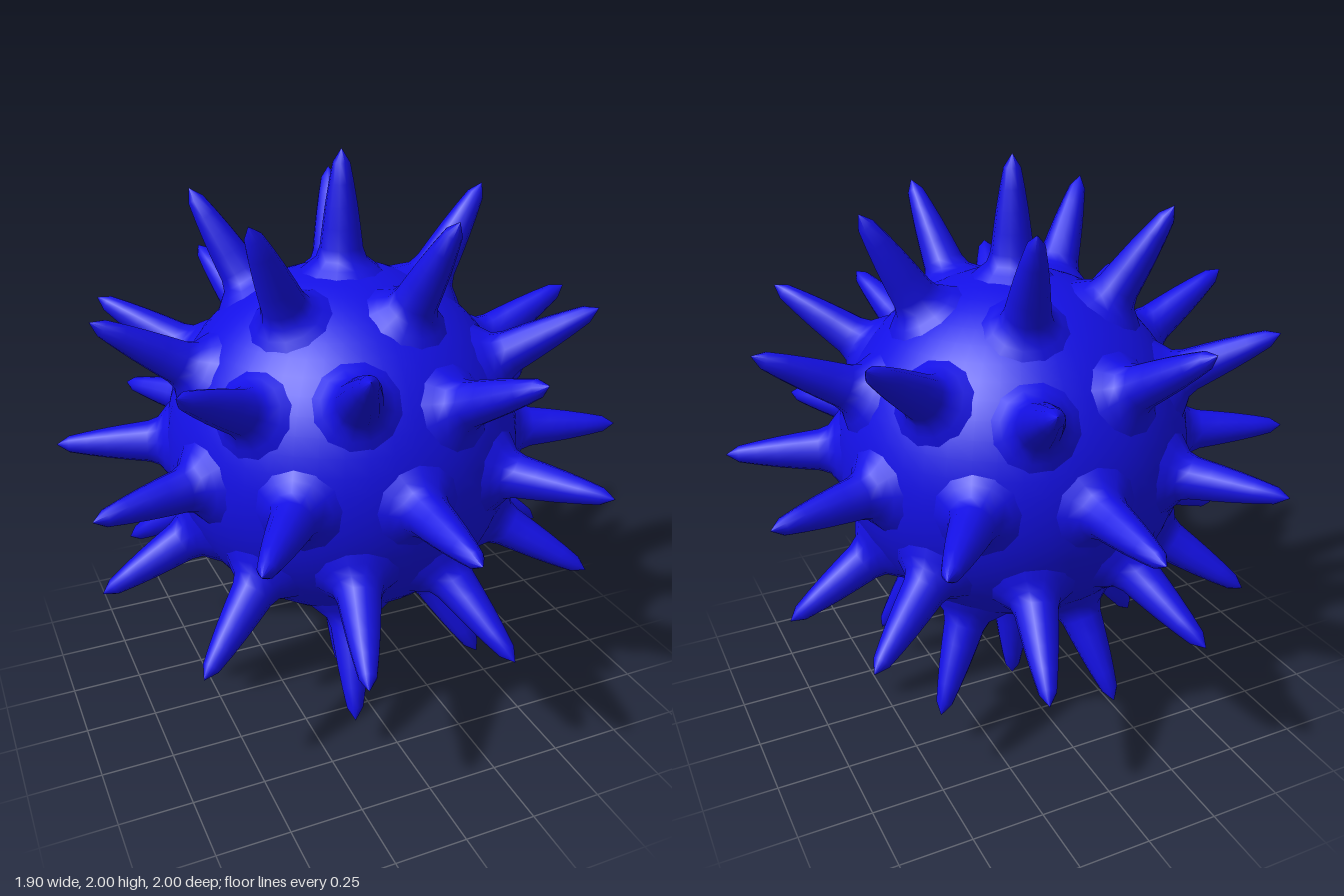
import * as THREE from 'three';

export function createModel() {
  const model = new THREE.Group();
  const material = new THREE.MeshStandardMaterial({ color: 0x1410e6 });

  // Round body
  const body = new THREE.Mesh(new THREE.SphereGeometry(0.618, 48, 32), material);
  body.name = 'body';
  body.position.y = 1;
  model.add(body);

  // Spike profile: flared base, gentle taper, short pointed tip
  const profile = [
    [0.155, 0.588], [0.115, 0.622], [0.086, 0.645], [0.073, 0.68], [0.064, 0.75],
    [0.054, 0.82], [0.042, 0.89], [0.029, 0.955], [0, 1],
  ].map(([r, h]) => new THREE.Vector2(r, h));
  const spikeGeometry = new THREE.LatheGeometry(profile, 12);

  const up = new THREE.Vector3(0, 1, 0);
  const spikes = new THREE.Group();
  spikes.name = 'spikes';
  spikes.position.y = 1;
  model.add(spikes);

  function addSpike(direction) {
    const spike = new THREE.Mesh(spikeGeometry, material);
    spike.name = 'spike';
    spike.quaternion.setFromUnitVectors(up, direction.normalize());
    spikes.add(spike);
  }

  // Rings of five: height and starting angle in degrees; each has an opposite spike
  const rings = [[0.851, 0], [0.526, 36], [0.447, 0], [0, 18]];
  for (const [y, start] of rings) {
    const r = Math.sqrt(1 - y * y);
    for (let i = 0; i < 5; i++) {
      const a = THREE.MathUtils.degToRad(start + i * 72);
      const direction = new THREE.Vector3(r * Math.cos(a), y, r * Math.sin(a));
      addSpike(direction.clone());
      addSpike(direction.negate());
    }
  }

  // Top and bottom spikes
  addSpike(new THREE.Vector3(0, 1, 0));
  addSpike(new THREE.Vector3(0, -1, 0));

  return model;
}
